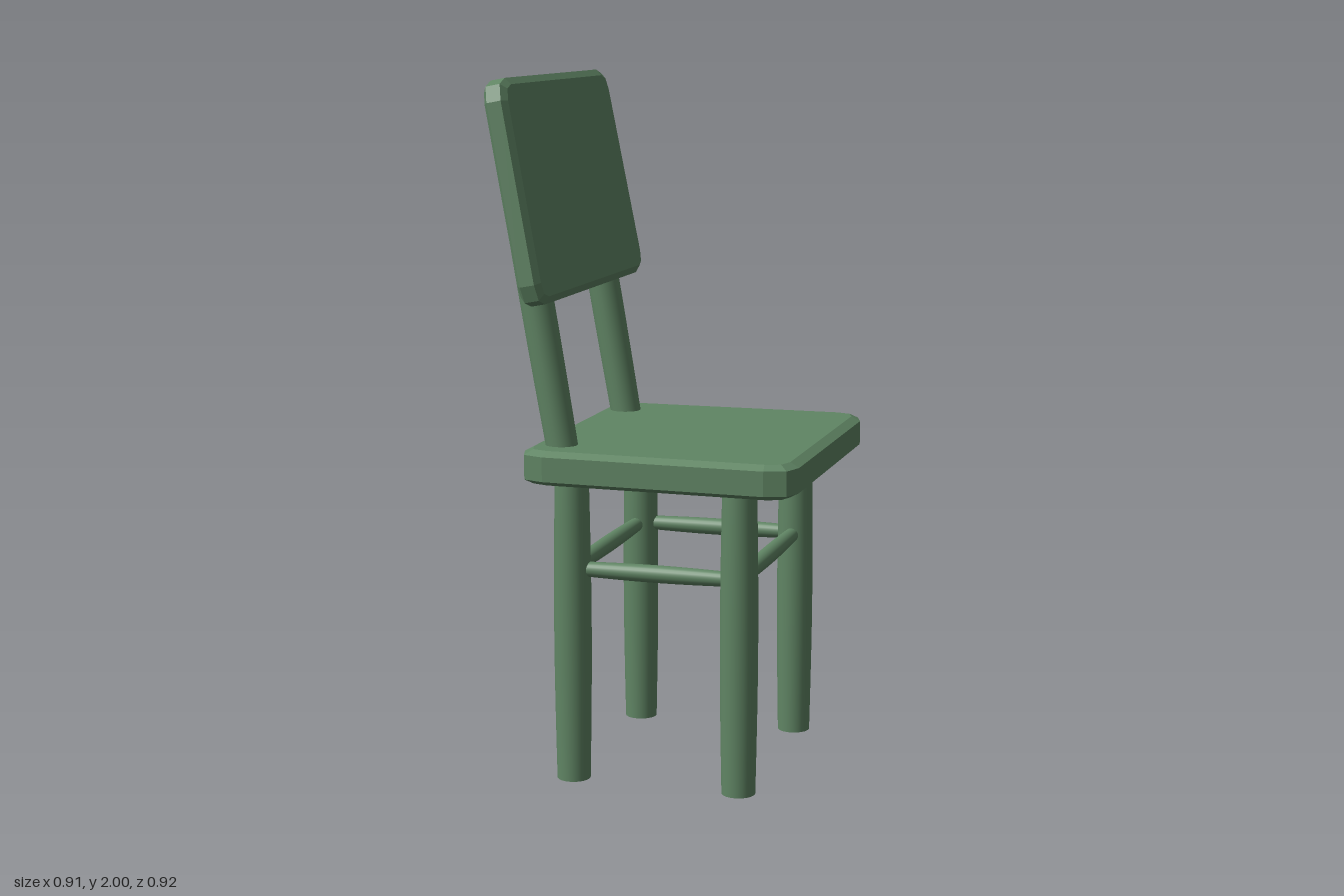
import * as THREE from 'three';

const V2 = (x, y) => new THREE.Vector2(x, y);
const V3 = (x, y, z) => new THREE.Vector3(x, y, z);

// Flat board: outline corners are eased with two facets each, rims are bevelled.
function board(corners, ease, thickness, bevelDepth, bevelInset) {
  const points = [];
  corners.forEach((c, i) => {
    const prev = corners[(i + corners.length - 1) % corners.length];
    const next = corners[(i + 1) % corners.length];
    const a = prev.clone().sub(c).setLength(ease).add(c);
    const b = next.clone().sub(c).setLength(ease).add(c);
    const mid = a.clone().add(b).multiplyScalar(0.25).addScaledVector(c, 0.5);
    points.push(a, mid, b);
  });
  const geometry = new THREE.ExtrudeGeometry(new THREE.Shape(points), {
    depth: thickness - 2 * bevelDepth,
    bevelThickness: bevelDepth,
    bevelSize: bevelInset,
    bevelOffset: -bevelInset,
    bevelSegments: 1,
  });
  return geometry.translate(0, 0, bevelDepth - thickness / 2);
}

// Round rod between two points, swelling gently towards its middle.
function rod(name, from, to, radius, swell, material) {
  const length = from.distanceTo(to);
  const geometry = new THREE.CylinderGeometry(radius, radius, length, 24, 8);
  const p = geometry.attributes.position;
  for (let i = 0; i < p.count; i++) {
    const s = 1 + swell * Math.cos((p.getY(i) / length) * Math.PI);
    p.setX(i, p.getX(i) * s);
    p.setZ(i, p.getZ(i) * s);
  }
  const mesh = new THREE.Mesh(geometry, material);
  mesh.name = name;
  mesh.position.copy(from).add(to).multiplyScalar(0.5);
  mesh.quaternion.setFromUnitVectors(V3(0, 1, 0), to.clone().sub(from).normalize());
  return mesh;
}

export function createModel() {
  const chair = new THREE.Group();
  chair.name = 'chair';
  const paint = new THREE.MeshStandardMaterial({ color: 0x608564 });
  paint.name = 'green paint';

  // Seat, a little wider at the front edge (+x)
  const seat = new THREE.Mesh(
    board([V2(-0.345, -0.437), V2(0.455, -0.455), V2(0.455, 0.457), V2(-0.345, 0.44)],
      0.08, 0.098, 0.014, 0.026),
    paint);
  seat.name = 'seat';
  seat.rotation.x = -Math.PI / 2;
  seat.position.y = 0.924;
  chair.add(seat);

  // Backrest panel, leaning back and slightly narrower at the top
  const panel = board(
    [V2(-0.464, -0.314), V2(0.464, -0.314), V2(0.446, 0.314), V2(-0.446, 0.314)],
    0.06, 0.07, 0.014, 0.02);
  panel.rotateY(Math.PI / 2);
  const backrest = new THREE.Mesh(panel, paint);
  backrest.name = 'backrest';
  backrest.rotation.z = 0.19;
  backrest.position.set(-0.342, 1.687, 0);
  chair.add(backrest);

  // Backrest posts
  chair.add(
    rod('backPostLeft', V3(-0.245, 0.93, 0.307), V3(-0.402, 1.835, 0.307), 0.045, 0.07, paint),
    rod('backPostRight', V3(-0.253, 0.93, -0.294), V3(-0.412, 1.838, -0.294), 0.045, 0.07, paint));

  // Legs
  const backX = -0.22, frontX = 0.272, legZ = 0.317;
  for (const x of [backX, frontX]) {
    for (const z of [legZ, -legZ]) {
      chair.add(rod('leg', V3(x, 0, z), V3(x, 0.9, z), 0.048, 0.12, paint));
    }
  }

  // Ring of stretchers between the legs
  const y = 0.619;
  for (const z of [legZ, -legZ]) {
    chair.add(rod('sideStretcher', V3(backX, y, z), V3(frontX, y, z), 0.02, 0.25, paint));
  }
  for (const x of [backX, frontX]) {
    chair.add(rod('crossStretcher', V3(x, y, -legZ), V3(x, y, legZ), 0.02, 0.25, paint));
  }

  return chair;
}
